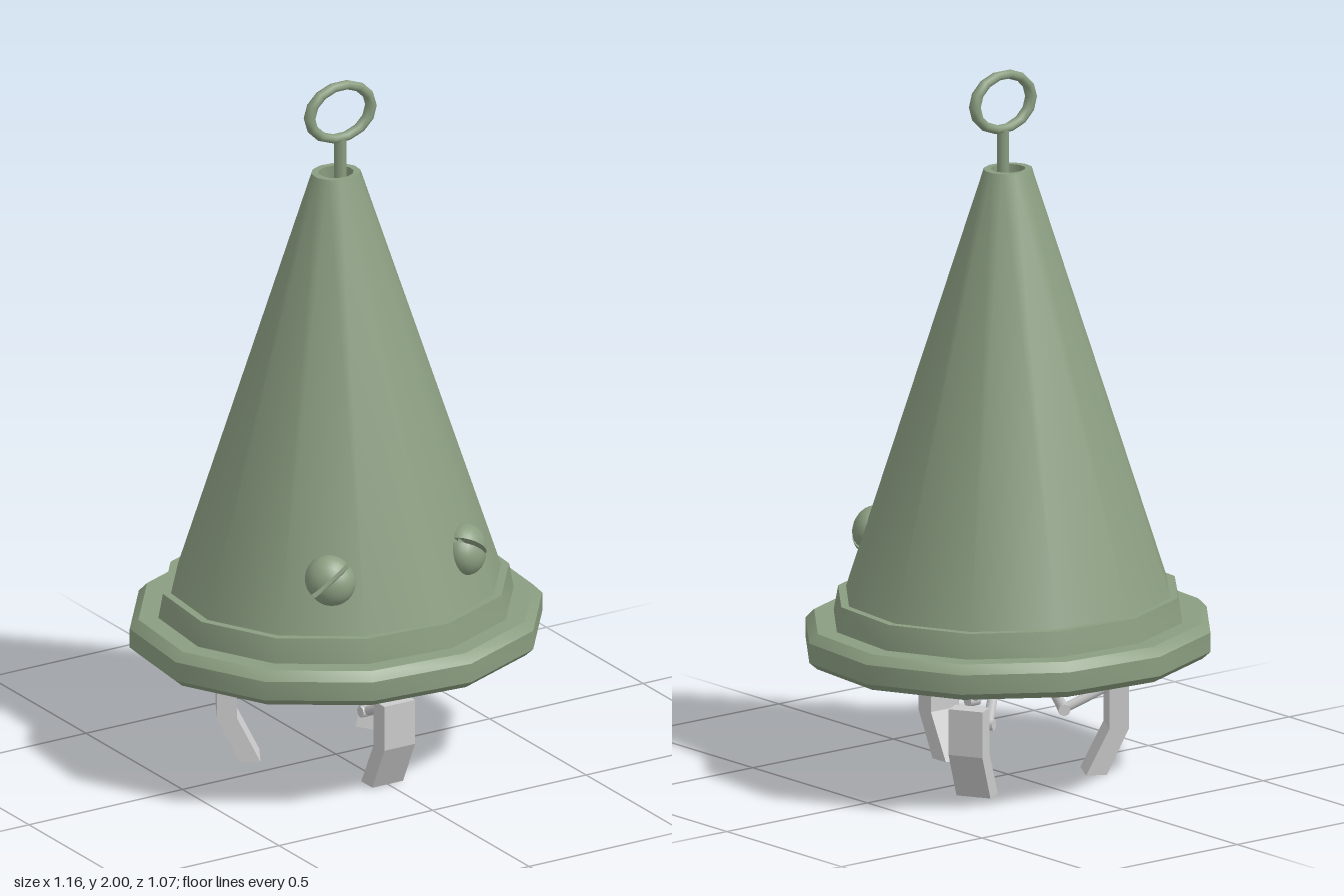
import * as THREE from 'three';
import { toCreasedNormals } from 'three/addons/utils/BufferGeometryUtils.js';

const green = new THREE.MeshStandardMaterial({ color: 0x8a9d80, side: THREE.DoubleSide });
const grey = new THREE.MeshStandardMaterial({ color: 0xcccccc });
const V = (x, y, z) => new THREE.Vector3(x, y, z);

function add(parent, name, geometry, material) {
  const mesh = new THREE.Mesh(geometry, material);
  mesh.name = name;
  parent.add(mesh);
  return mesh;
}

// Twelve-sided, slightly oval turned part
function turned(points, zScale) {
  const profile = points.map(([r, y]) => new THREE.Vector2(r, y));
  const g = new THREE.LatheGeometry(profile, 12, THREE.MathUtils.degToRad(10));
  g.scale(1, 1, zScale);
  return toCreasedNormals(g, 0.6);
}

// Round bar between two points
function bar(parent, name, a, b, r, material) {
  const mesh = add(parent, name, new THREE.CylinderGeometry(r, r, a.distanceTo(b), 8), material);
  mesh.position.copy(a).add(b).multiplyScalar(0.5);
  mesh.quaternion.setFromUnitVectors(V(0, 1, 0), b.clone().sub(a).normalize());
  return mesh;
}

// Domed screw head with a slot along local x, dome facing local +z
function slottedScrew() {
  const screw = new THREE.Group();
  screw.name = 'slottedScrew';
  const r = 0.06, h = 0.047, gap = 0.006;
  for (const turn of [0, Math.PI]) {
    const half = new THREE.Group();
    half.name = 'screwHalf';
    half.rotation.z = turn;
    const dome = new THREE.SphereGeometry(1, 12, 6, 0, Math.PI, 0, Math.PI / 2);
    dome.rotateX(Math.PI / 2).scale(r, r, h).translate(0, -gap, 0);
    add(half, 'screwDome', dome, green);
    const wall = new THREE.CircleGeometry(1, 12, 0, Math.PI);
    wall.rotateX(Math.PI / 2).scale(r, 1, h).translate(0, -gap, 0);
    add(half, 'slotWall', wall, green);
    screw.add(half);
  }
  const floor = add(screw, 'slotFloor', new THREE.CircleGeometry(r * 0.95, 16), green);
  floor.position.z = 0.012;
  return screw;
}

// Bent finger on a two-bar linkage, reaching out along +z
function claw() {
  const group = new THREE.Group();
  group.name = 'claw';
  const outline = new THREE.Shape();
  [[0.33, 0.26], [0.275, 0.26], [0.275, 0.13], [0.21, 0], [0.268, 0], [0.33, 0.13]]
    .forEach(([z, y], i) => (i ? outline.lineTo(-z, y) : outline.moveTo(-z, y)));
  const finger = new THREE.ExtrudeGeometry(outline, { depth: 0.1, bevelEnabled: false });
  finger.translate(0, 0, -0.05).rotateY(Math.PI / 2);
  add(group, 'finger', finger, grey);
  const elbow = V(0, 0.18, 0.155);
  bar(group, 'upperLink', V(0, 0.3, 0.092), elbow, 0.015, grey);
  bar(group, 'lowerLink', elbow, V(0, 0.245, 0.29), 0.014, grey);
  bar(group, 'elbowPin', V(-0.018, 0.18, 0.155), V(0.018, 0.18, 0.155), 0.017, grey);
  return group;
}

export function createModel() {
  const model = new THREE.Group();
  model.name = 'hangingConeGrabber';

  // Hollow-tipped cone with stepped base flange
  add(model, 'coneBody', turned([
    [0, 0.35], [0.567, 0.35], [0.59, 0.37], [0.59, 0.425], [0.565, 0.45],
    [0.508, 0.45], [0.495, 0.52], [0.472, 0.52],
    [0.07, 1.725], [0.05, 1.725], [0.05, 1.6], [0, 1.6],
  ], 0.925), green);

  // Hanging post and oval ring
  bar(model, 'hangingPost', V(0, 1.58, 0.022), V(0, 1.835, 0.022), 0.017, green);
  const ring = add(model, 'hangingRing', new THREE.TorusGeometry(0.1, 0.0165, 8, 14), green);
  ring.scale.set(1, 0.775, 1);
  ring.position.set(0, 1.91, 0.022);

  // Pair of screws lying on the sloped cone face
  for (const s of [1, -1]) {
    const screw = slottedScrew();
    const normal = V(s * 0.49, 0.3, 0.87);
    screw.position.set(s * 0.221, 0.668, 0.322);
    screw.lookAt(screw.position.clone().add(normal));
    screw.rotateZ(-s * 0.72);
    screw.scale.setScalar(1.1);
    model.add(screw);
  }

  // Gripper hub and three claws
  add(model, 'gripperHub', turned([[0, 0.28], [0.117, 0.28], [0.157, 0.355], [0, 0.355]], 0.95), grey);
  for (let i = 0; i < 3; i++) {
    const c = claw();
    c.rotation.y = (i * Math.PI * 2) / 3;
    model.add(c);
  }
  return model;
}
